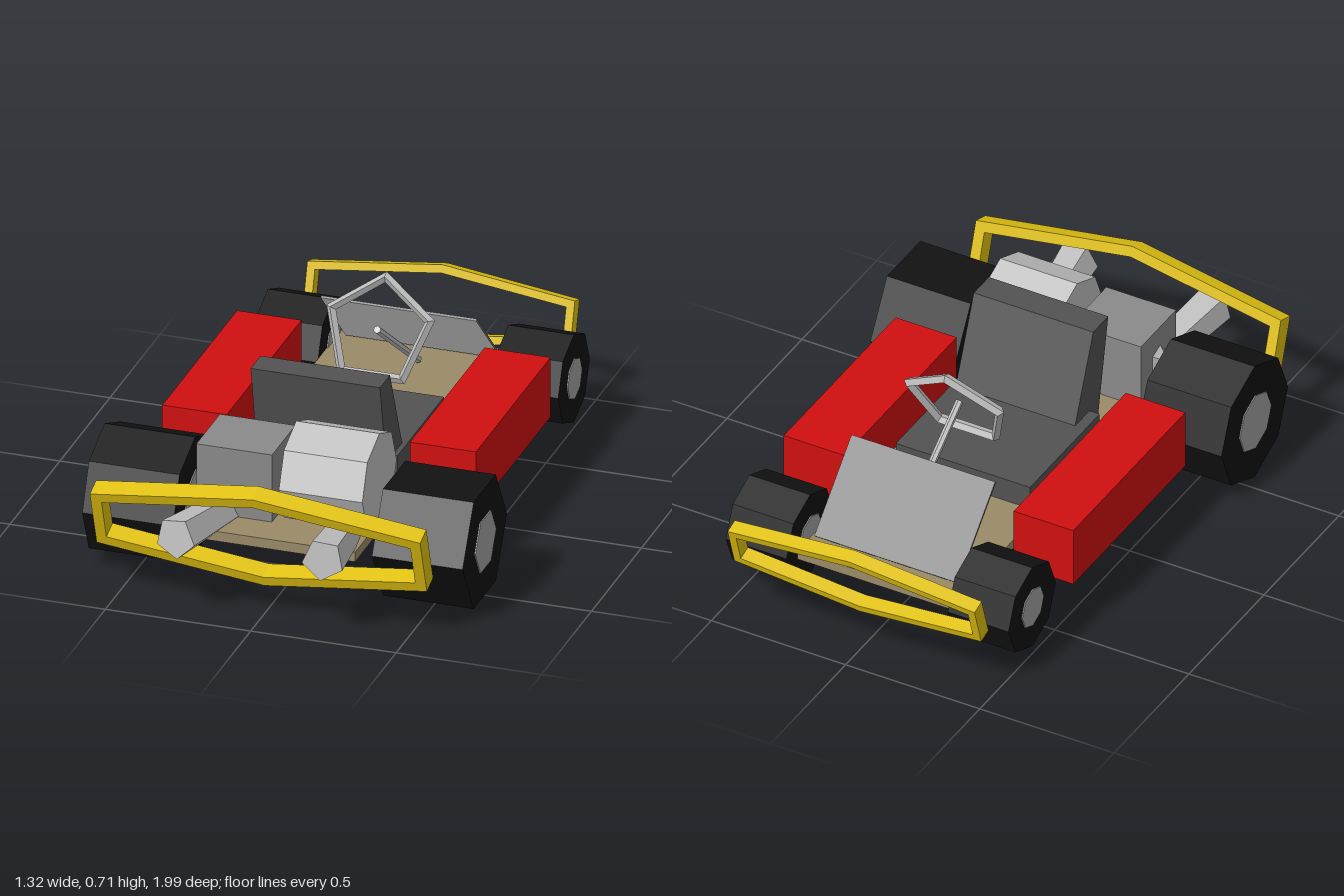
import * as THREE from 'three';

const mat = (name, color, extra = {}) => {
  const m = new THREE.MeshStandardMaterial({ color, flatShading: true, ...extra });
  m.name = name;
  return m;
};

export function createModel() {
  const kart = new THREE.Group();
  kart.name = 'goKart';
  const yellow = mat('bumper yellow', 0xdfc010);
  const red = mat('pod red', 0xd00f0f);
  const black = mat('tyre black', 0x121212);
  const tan = mat('floor tan', 0x9a8a68);
  const seatGray = mat('seat gray', 0x525252);
  const panelGray = mat('panel gray', 0x6a6a6a);
  const metal = mat('metal', 0xc0c0c0);
  const steel = mat('engine block gray', 0x8a8a8a);
  const hubGray = mat('hub gray', 0xa0a0a0);
  const white = mat('panel underside white', 0xe8e8e8);

  const add = (name, geo, material, pos = [0, 0, 0]) => {
    const m = new THREE.Mesh(geo, material);
    m.name = name;
    m.position.set(...pos);
    kart.add(m);
    return m;
  };
  // Box given by its minimum and maximum corners
  const box = (name, a, b, material) => add(name,
    new THREE.BoxGeometry(b[0] - a[0], b[1] - a[1], b[2] - a[2]), material,
    a.map((v, i) => (v + b[i]) / 2));
  // Rod between two points
  const rod = (name, a, b, r0, r1, sides, material) => {
    const p = new THREE.Vector3(...a), q = new THREE.Vector3(...b), d = q.clone().sub(p);
    const m = add(name, new THREE.CylinderGeometry(r1, r0, d.length(), sides), material);
    m.position.copy(p).add(q).multiplyScalar(0.5);
    m.quaternion.setFromUnitVectors(new THREE.Vector3(0, 1, 0), d.normalize());
    return m;
  };

  // Floor and side pods
  box('floor', [-0.297, 0.2, -0.805], [0.287, 0.235, 0.79], tan);
  box('leftPod', [0.299, 0.185, -0.471], [0.526, 0.4, 0.277], red);
  box('rightPod', [-0.553, 0.185, -0.471], [-0.331, 0.4, 0.277], red);

  // Wheels: tyre with a thin hub disc on each face
  const wheel = (name, x, z, r, width, sides, hubR) => {
    const across = (radius, w) => new THREE.CylinderGeometry(radius, radius, w, sides).rotateZ(Math.PI / 2);
    add(name + 'Tyre', across(r, width), black, [x, 0.223, z]);
    add(name + 'Hub', across(hubR, width + 0.008), hubGray, [x, 0.223, z]);
  };
  wheel('leftEngineEnd', 0.496, 0.555, 0.222, 0.312, 6, 0.105);
  wheel('rightEngineEnd', -0.5, 0.555, 0.222, 0.312, 8, 0.105);
  wheel('leftNoseEnd', 0.417, -0.692, 0.158, 0.226, 8, 0.072);
  wheel('rightNoseEnd', -0.41, -0.692, 0.158, 0.226, 8, 0.072);

  // Bumpers: leaning six-sided frames
  const outline = (Path, w, side, mid) => {
    const p = new Path();
    [[0, mid], [-w, side], [-w, -side], [0, -mid], [w, -side], [w, side]]
      .forEach(([x, y], i) => (i ? p.lineTo(x, y) : p.moveTo(x, y)));
    p.closePath();
    return p;
  };
  const bumper = (name, pos, w, side, mid, bar, depth, tilt) => {
    const shape = outline(THREE.Shape, w, side, mid);
    shape.holes.push(outline(THREE.Path, w - bar, side - bar * 0.85, mid - bar));
    const geo = new THREE.ExtrudeGeometry(shape, { depth, bevelEnabled: false });
    geo.translate(0, 0, -depth / 2).rotateX(tilt);
    add(name, geo, yellow, pos);
  };
  bumper('engineBumper', [-0.007, 0.285, 0.872], 0.568, 0.108, 0.192, 0.037, 0.066, 0.32);
  bumper('noseBumper', [-0.01, 0.3, -0.935], 0.46, 0.076, 0.13, 0.028, 0.05, -0.3);

  // Seat: cushion and leaning backrest cut from a side profile
  box('seatCushion', [-0.26, 0.235, -0.235], [0.24, 0.32, 0.23], seatGray);
  const profile = new THREE.Shape([[0.355, 0.62], [0.255, 0.62], [0.13, 0.31], [0.13, 0.236], [0.282, 0.236]]
    .map(([z, y]) => new THREE.Vector2(-z, y)));
  const back = new THREE.ExtrudeGeometry(profile, { depth: 0.445, bevelEnabled: false });
  back.rotateY(Math.PI / 2);
  add('seatBack', back, seatGray, [-0.222, 0, 0]);

  // Sloping nose panel, pale underneath
  const panel = add('nosePanel', new THREE.BoxGeometry(0.535, 0.008, 0.352),
    [panelGray, panelGray, panelGray, white, panelGray, panelGray], [0.003, 0.37, -0.597]);
  panel.rotation.x = -Math.PI / 4;

  // Steering wheel and column
  const rim = new THREE.TorusGeometry(0.178, 0.018, 4, 5).rotateZ(Math.PI / 2).rotateX(-0.464);
  add('steeringWheel', rim, metal, [0.022, 0.535, -0.21]);
  rod('steeringColumn', [0.022, 0.545, -0.2], [0.022, 0.25, -0.61], 0.013, 0.013, 6, metal);

  // Engine: drum, block and pointed cap
  const drum = new THREE.CylinderGeometry(0.172, 0.172, 0.287, 8).rotateZ(Math.PI / 2);
  add('engineDrum', drum, metal, [0.143, 0.38, 0.545]);
  box('engineBlock', [-0.302, 0.235, 0.43], [-0.042, 0.477, 0.665], steel);
  rod('engineCap', [-0.29, 0.36, 0.545], [-0.337, 0.36, 0.545], 0.06, 0.005, 5, metal);

  // Exhaust pipes
  rod('leftExhaust', [0.2, 0.235, 0.56], [0.243, 0.288, 0.985], 0.055, 0.072, 5, metal);
  rod('rightExhaust', [-0.2, 0.235, 0.56], [-0.265, 0.288, 0.985], 0.055, 0.072, 5, metal);

  return kart;
}
